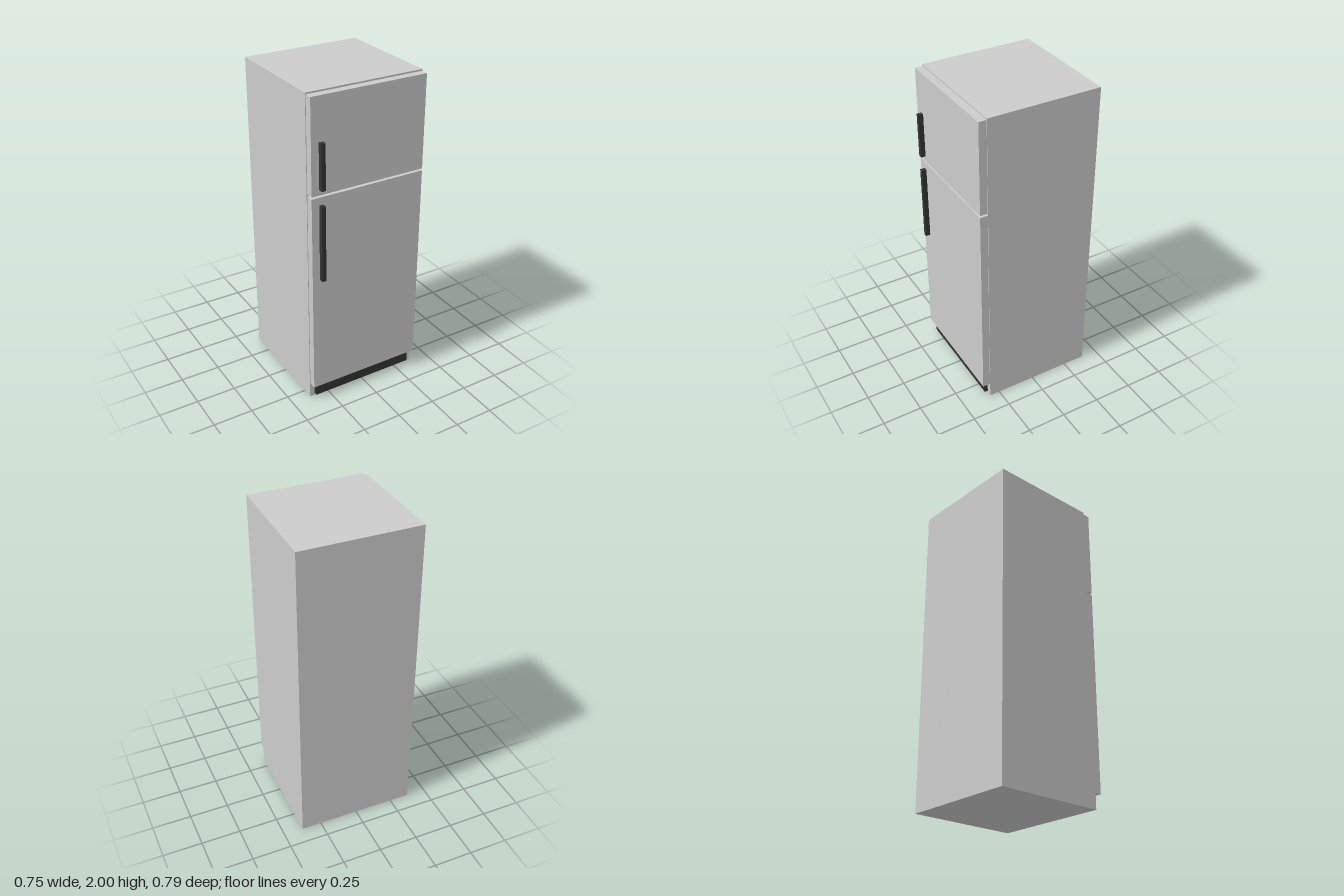
import * as THREE from 'three';

const grey = new THREE.MeshStandardMaterial({ color: 0xcccccc });
const dark = new THREE.MeshStandardMaterial({ color: 0x333333 });

// Box given by its extents along each axis
function block(name, material, [x0, x1], [y0, y1], [z0, z1]) {
  const mesh = new THREE.Mesh(new THREE.BoxGeometry(x1 - x0, y1 - y0, z1 - z0), material);
  mesh.position.set((x0 + x1) / 2, (y0 + y1) / 2, (z0 + z1) / 2);
  mesh.name = name;
  return mesh;
}

export function createModel() {
  const fridge = new THREE.Group();
  fridge.name = 'refrigerator';

  const cabinetFront = 0.316;
  const doorFront = 0.364;

  // Cabinet and the recessed kick plate at its foot
  fridge.add(block('cabinet', grey, [-0.376, 0.376], [0, 2], [-0.393, cabinetFront]));
  fridge.add(block('kickPlate', dark, [-0.343, 0.343], [0.013, 0.088], [cabinetFront, 0.338]));

  // Doors, each with a vertical bar handle
  const doors = [
    { name: 'freezer', door: [1.411, 1.99], handle: [1.445, 1.727] },
    { name: 'fridge', door: [0.1, 1.398], handle: [0.867, 1.35] },
  ];
  for (const { name, door, handle } of doors) {
    const group = new THREE.Group();
    group.name = `${name}DoorAssembly`;
    group.add(block(`${name}Door`, grey, [-0.372, 0.372], door, [cabinetFront, doorFront]));
    group.add(block(`${name}Handle`, dark, [-0.324, -0.298], handle, [doorFront, 0.393]));
    fridge.add(group);
  }
  return fridge;
}
